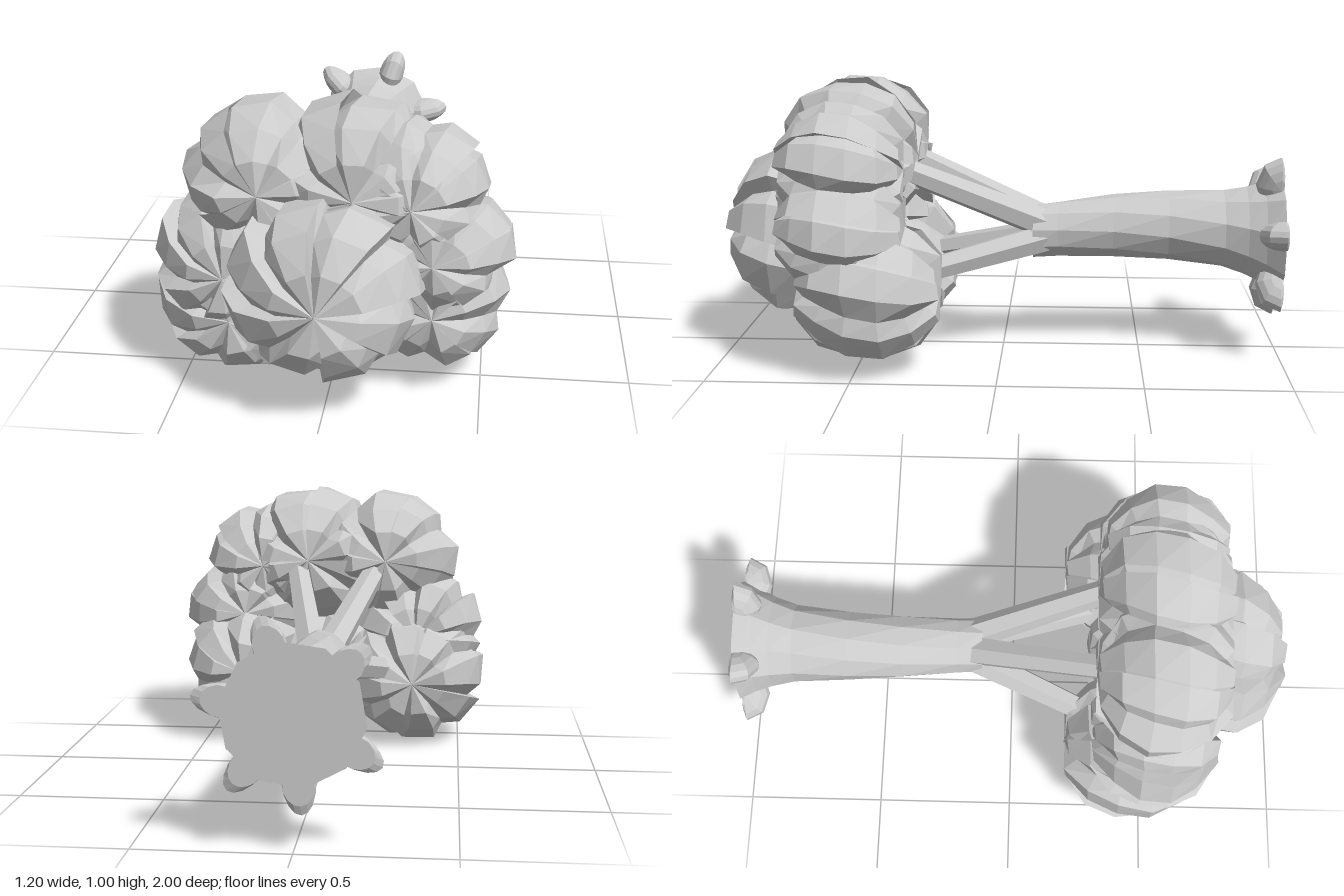
import * as THREE from 'three';

const material = new THREE.MeshStandardMaterial({ color: 0xcccccc, flatShading: true });

function addMesh(parent, name, geometry) {
  geometry.computeVertexNormals();
  const mesh = new THREE.Mesh(geometry, material);
  mesh.name = name;
  parent.add(mesh);
}

function addGroup(parent, name) {
  const group = new THREE.Group();
  group.name = name;
  parent.add(group);
  return group;
}

// Applies a rule to every vertex of a geometry.
function moveVertices(geometry, rule) {
  const p = geometry.attributes.position;
  const v = new THREE.Vector3();
  for (let i = 0; i < p.count; i++) {
    rule(v.fromBufferAttribute(p, i), i);
    p.setXYZ(i, v.x, v.y, v.z);
  }
  return geometry;
}

// Tapered faceted limb between two points.
function limb(from, to, r0, r1, sides) {
  const a = new THREE.Vector3(...from), b = new THREE.Vector3(...to);
  const dir = b.clone().sub(a);
  const g = new THREE.CylinderGeometry(r1, r0, dir.length(), sides, 2);
  g.applyQuaternion(new THREE.Quaternion().setFromUnitVectors(
    new THREE.Vector3(0, 1, 0), dir.normalize()));
  const mid = a.add(b).multiplyScalar(0.5);
  return g.translate(mid.x, mid.y, mid.z);
}

// Leaf cluster: overlapping petals meeting in a pinched star at both poles, which lie along z.
function leafCluster(center, size, turn) {
  const petals = 8, cols = petals * 3, rows = 7;
  const g = new THREE.SphereGeometry(1, cols, rows);
  moveVertices(g, (v, i) => {
    const col = (i % (cols + 1)) % cols;
    const row = Math.floor(i / (cols + 1));
    const petal = Math.floor(col / 3);
    const polar = (row / rows) * Math.PI;
    const atPole = row === 0 || row === rows;
    // the last column of each petal tucks under the next one
    const lift = atPole ? 0.95
      : [1.04, 1.01, 0.88][col % 3] + 0.03 * Math.sin(petal * 2.4 + row * 1.9 + turn);
    const around = (petal + [0, 0.58, 0.9][col % 3] + 0.2 * Math.sin(petal * 3.1 + turn))
      / petals * Math.PI * 2 + turn + 0.2 * Math.cos(polar);
    const r = atPole ? 0 : Math.pow(Math.sin(polar), 0.95) * lift;
    v.set(r * Math.cos(around), r * Math.sin(around), Math.cos(polar) * lift);
  });
  return g.scale(...size).translate(...center);
}

export function createModel() {
  const tree = new THREE.Group();
  tree.name = 'fallenTree';
  const axisY = 0.43;

  // Trunk: lathe along z, slightly crooked and twisted, closed at both ends
  const profile = [[0, -1], [0.225, -1], [0.19, -0.94], [0.165, -0.88], [0.142, -0.8],
    [0.126, -0.6], [0.115, -0.4], [0.102, -0.2], [0.1, -0.11], [0, -0.11]]
    .map(([r, z]) => new THREE.Vector2(r, z));
  const trunk = new THREE.LatheGeometry(profile, 10).rotateX(Math.PI / 2);
  const zAxis = new THREE.Vector3(0, 0, 1);
  moveVertices(trunk, (v) => {
    const bend = Math.sin(Math.PI * (v.z + 1) / 0.9);
    v.applyAxisAngle(zAxis, 0.8 * v.z);
    v.x -= 0.027 * bend;
    v.y += axisY + 0.025 * bend;
  });
  addMesh(tree, 'trunk', trunk);

  // Roots: low rounded toes spreading from the flare, cut flat at the foot
  const roots = addGroup(tree, 'roots');
  for (const degrees of [72, 137, 210, 265, 310, 10]) {
    const root = new THREE.SphereGeometry(1, 8, 8).scale(0.105, 0.052, 0.085)
      .translate(0.205, 0, -0.99)
      .rotateZ(THREE.MathUtils.degToRad(degrees))
      .translate(0, axisY, 0);
    addMesh(roots, 'root', moveVertices(root, (v) => { v.z = Math.max(v.z, -1); }));
  }

  // Branches: fan from the trunk top into the crown
  const branches = addGroup(tree, 'branches');
  const tips = [[-0.18, 0.7, 0.4], [0.14, 0.7, 0.4], [-0.23, 0.3, 0.32], [0.2, 0.31, 0.32]];
  for (const [x, y, z] of tips) {
    const start = [x * 0.2, axisY + (y - axisY) * 0.13, -0.15];
    addMesh(branches, 'branch', limb(start, [x, y, z], 0.055, 0.043, 6));
  }

  // Crown: leaf clusters as [center, radii]
  const crown = addGroup(tree, 'crown');
  const clusters = [
    [[0, 0.435, 0.765], [0.31, 0.3, 0.24]],
    [[-0.21, 0.725, 0.53], [0.275, 0.25, 0.245]],
    [[0.09, 0.725, 0.54], [0.31, 0.265, 0.25]],
    [[0.27, 0.7, 0.55], [0.24, 0.23, 0.23]],
    [[0.34, 0.51, 0.54], [0.255, 0.21, 0.23]],
    [[-0.33, 0.43, 0.52], [0.26, 0.255, 0.24]],
    [[0.34, 0.3, 0.45], [0.245, 0.245, 0.265]],
    [[-0.32, 0.265, 0.46], [0.275, 0.26, 0.27]],
    [[0.02, 0.28, 0.52], [0.27, 0.24, 0.24]],
  ];
  clusters.forEach(([center, size], i) =>
    addMesh(crown, 'leafCluster', leafCluster(center, size, i * 1.3)));

  return tree;
}
